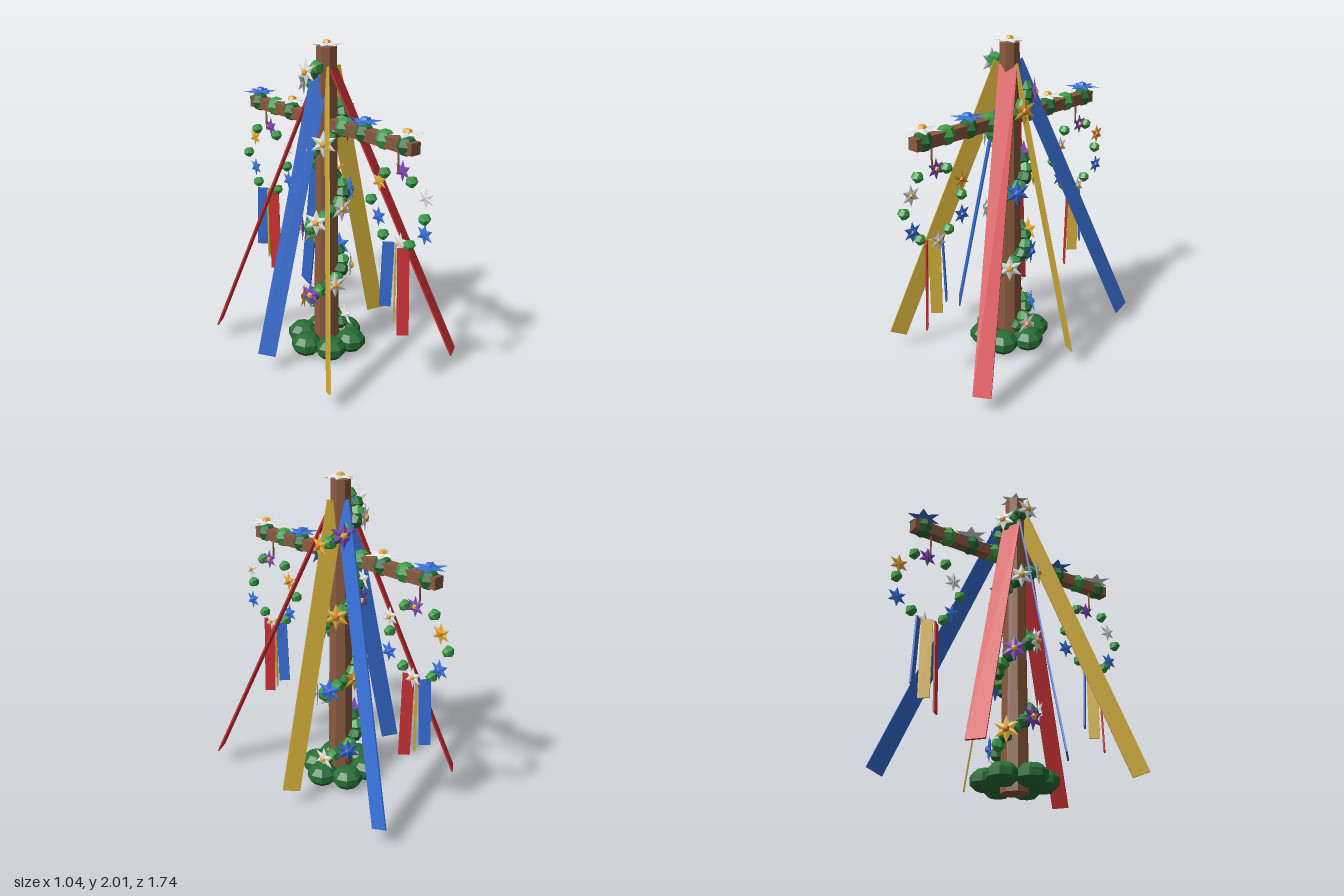
import * as THREE from 'three';

const paint = (name, color) => {
  const m = new THREE.MeshStandardMaterial({ color, flatShading: true });
  m.name = name;
  return m;
};
const wood = paint('wood', 0x8a5a3f);
const red = paint('red', 0xd23438);
const blue = paint('blue', 0x3870d8);
const yellow = paint('ribbonYellow', 0xd6b13c);
const gold = paint('petalGold', 0xe6ac34);
const white = paint('petalWhite', 0xe6e6e6);
const purple = paint('petalPurple', 0x7d45b8);
const orange = paint('orange', 0xd97a22);
const leaf = paint('leafGreen', 0x3c9c48);
const darkLeaf = paint('darkGreen', 0x276f36);

const V = (x, y, z) => new THREE.Vector3(x, y, z);
const FRONT = V(0, 0, 1);

// Six-pointed faceted star of radius 1, facing +z
function starGeometry() {
  const profile = [[0, -0.13], [1, 0], [0, 0.13]].map(p => new THREE.Vector2(...p));
  const g = new THREE.LatheGeometry(profile, 12);
  const p = g.attributes.position;
  for (let i = 0; i < p.count; i++) {
    const k = Math.floor(i / 3);
    if (k % 2) p.setXYZ(i, p.getX(i) * 0.47, p.getY(i), p.getZ(i) * 0.47);
  }
  g.rotateX(Math.PI / 2);
  g.computeVertexNormals();
  return g;
}
const star = starGeometry();
const bud = new THREE.SphereGeometry(1, 5, 4).rotateX(Math.PI / 2);
const bush = new THREE.SphereGeometry(1, 6, 4);
const hedge = new THREE.SphereGeometry(1, 8, 5);

function add(parent, name, geometry, material, pos = V(0, 0, 0)) {
  const m = new THREE.Mesh(geometry, material);
  m.name = name;
  m.position.copy(pos);
  parent.add(m);
  return m;
}

function addFlower(parent, pos, facing, radius, petal) {
  const f = new THREE.Group();
  f.name = 'flower';
  f.position.copy(pos);
  f.quaternion.setFromUnitVectors(FRONT, facing);
  add(f, 'petals', star, petal).scale.setScalar(radius);
  const heart = petal === gold ? orange : petal === blue ? blue : gold;
  add(f, 'flowerCentre', bud, heart, V(0, 0, radius * 0.1)).scale.set(radius * 0.27, radius * 0.27, radius * 0.18);
  parent.add(f);
}

function addLeaf(parent, pos, facing, radius, material) {
  const m = add(parent, 'leafCluster', bud, material, pos);
  m.scale.setScalar(radius);
  m.quaternion.setFromUnitVectors(FRONT, facing);
}

// Flat strip from top to bottom; "across" is the direction of its width
function addRibbon(parent, name, top, bottom, across, width, material) {
  const y = top.clone().sub(bottom);
  const length = y.length();
  y.normalize();
  const z = across.clone().cross(y).normalize();
  const x = y.clone().cross(z);
  const m = add(parent, name, new THREE.BoxGeometry(width, length, 0.01), material,
    top.clone().add(bottom).multiplyScalar(0.5));
  m.quaternion.setFromRotationMatrix(new THREE.Matrix4().makeBasis(x, y, z));
}

export function createModel() {
  const model = new THREE.Group();
  model.name = 'maypole';

  // Pole and crossbar
  add(model, 'pole', new THREE.CylinderGeometry(0.063, 0.085, 1.97, 8).rotateY(Math.PI / 8), wood, V(0, 0.99, 0));
  add(model, 'crossbar', new THREE.BoxGeometry(0.07, 0.07, 1.5), wood, V(0, 1.52, 0));
  addFlower(model, V(0, 1.985, 0), V(0, 1, 0), 0.1, white);

  // Bushes around the foot
  for (let i = 0; i < 6; i++) {
    const a = i * Math.PI / 3;
    add(model, 'baseBush', hedge, darkLeaf, V(Math.cos(a) * 0.165, 0.08, Math.sin(a) * 0.165)).scale.set(0.1, 0.073, 0.1);
  }

  // Spiral garland
  const spiral = (y, r) => {
    const a = (y - 0.18) / 0.475 * Math.PI * 2;
    const out = V(Math.cos(a), 0, -Math.sin(a));
    return { out, pos: out.clone().multiplyScalar(r).setY(y) };
  };
  const cycle = [white, blue, gold, purple, white];
  for (let i = 0; i < 21; i++) {
    const { out, pos } = spiral(0.18 + i * 0.083, 0.15);
    addFlower(model, pos, out, 0.085, cycle[i % 5]);
  }
  for (let i = 0; i < 42; i++) {
    const { out, pos } = spiral(0.16 + i * 0.0415, 0.1);
    addLeaf(model, pos, out, 0.047, i % 2 ? leaf : darkLeaf);
  }

  // Crossbar decoration
  for (const s of [1, -1]) {
    [0.17, 0.34, 0.51, 0.68].forEach((z, i) => {
      add(model, 'barBush', bush, i % 2 ? darkLeaf : leaf, V(0, 1.525, s * z)).scale.setScalar(0.062);
      if (i % 2) addFlower(model, V(0, 1.592, s * z), V(0, 1, 0), 0.11, (i === 3) === (s > 0) ? white : blue);
    });
  }

  // Hanging wreaths
  const wreathColours = [purple, white, blue, white, blue, gold];
  const side = V(1, 0, 0);
  for (const zc of [0.62, -0.62]) {
    const wreath = new THREE.Group();
    wreath.name = 'wreath';
    wreath.position.set(0, 1.145, zc);
    model.add(wreath);
    add(wreath, 'cord', new THREE.CylinderGeometry(0.006, 0.006, 0.14, 5), wood, V(0, 0.28, 0));
    for (let i = 0; i < 12; i++) {
      const a = i * Math.PI / 6;
      const pos = V(0, Math.cos(a) * 0.215, Math.sin(a) * 0.215);
      if (i % 2) addLeaf(wreath, pos, side, 0.036, leaf);
      else addFlower(wreath, pos.setX(0.035), side, 0.064, wreathColours[i / 2]);
    }
    // Short ribbons below the wreath
    [[1, red, 0.38], [0, yellow, 0.45], [-1, blue, 0.51]].forEach(([k, m, y]) =>
      addRibbon(wreath, 'shortRibbon', V(0, -0.22, k * 0.06), V(0, y - 1.145, k * 0.078),
        V(1, 0, k ? 1 : -1), 0.07, m));
  }

  // Long ribbons: bottom end, width direction, colour
  [
    [V(-0.455, 0.105, -0.57), V(0.78, 0, -0.62), red],
    [V(0.45, 0.105, 0.695), V(0.86, 0, -0.5), red],
    [V(0.382, 0.108, -0.7), V(0, 0.035, -0.1), blue],
    [V(-0.48, 0.11, 0), V(0.075, -0.02, 0.07), blue],
    [V(0.472, 0.11, -0.045), V(0.09, 0.02, 0.055), yellow],
    [V(-0.452, 0.107, 0.565), V(0.05, -0.035, -0.09), yellow],
  ].forEach(([bottom, across, m]) => {
    const top = V(bottom.x, 0, bottom.z).setLength(0.04).setY(1.85);
    addRibbon(model, 'longRibbon', top, bottom, across, 0.11, m);
  });

  return model;
}
